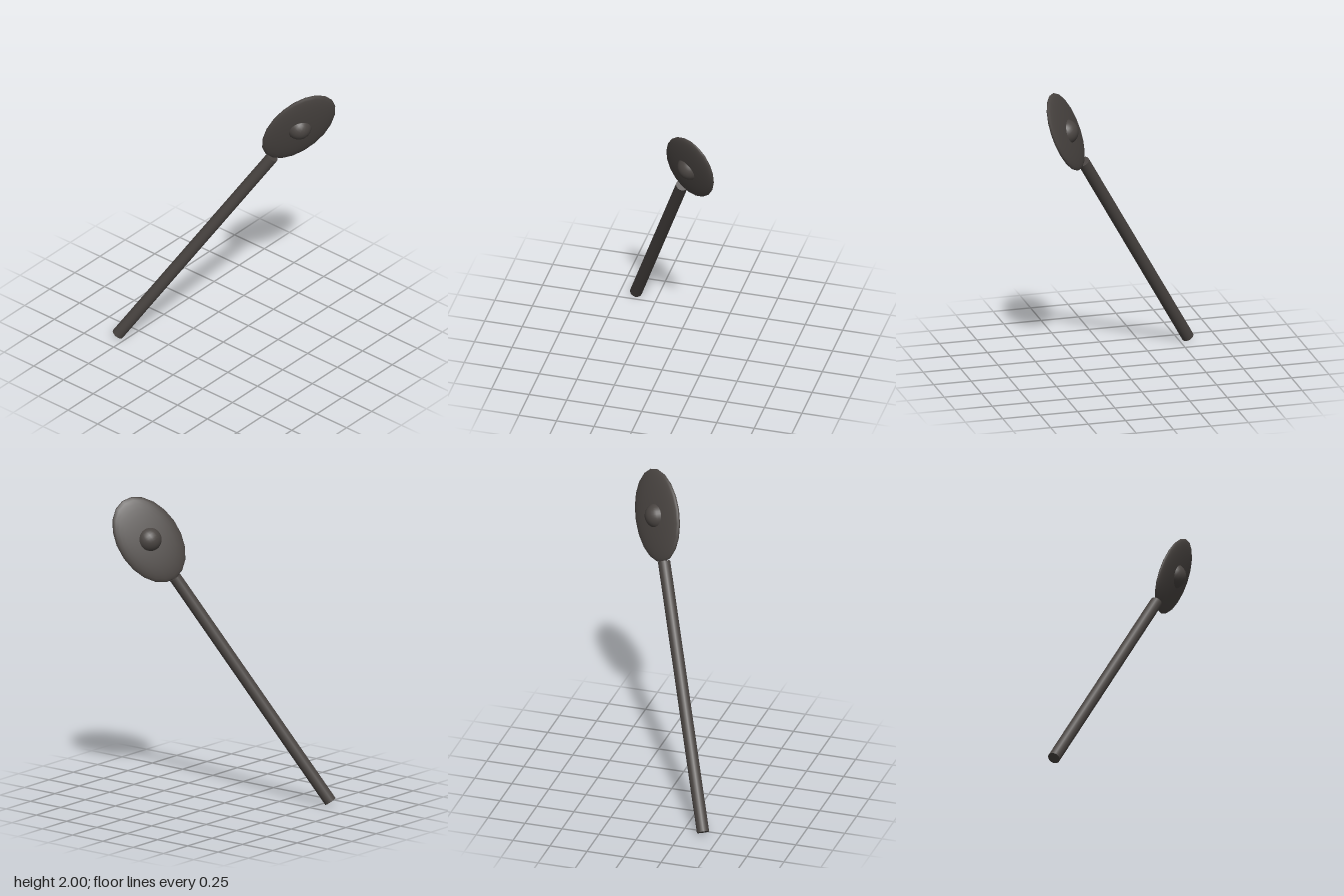
import * as THREE from 'three';

export function createModel() {
  const root = new THREE.Group();
  root.name = 'paddle';
  const darkGrey = new THREE.MeshStandardMaterial({ color: 0x4a4542 });
  darkGrey.name = 'dark grey';

  const add = (name, geometry, y = 0) => {
    const mesh = new THREE.Mesh(geometry, darkGrey);
    mesh.name = name;
    mesh.position.y = y;
    root.add(mesh);
    return mesh;
  };

  // Flattened oval head, thin along local z
  const head = new THREE.SphereGeometry(1, 20, 16);
  head.rotateX(Math.PI / 2);
  head.scale(0.21, 0.305, 0.037);
  add('head', head);

  // Round boss showing on both faces of the head
  add('boss', new THREE.SphereGeometry(0.083, 24, 16));

  // Long straight handle below the head
  const length = 1.77;
  add('handle', new THREE.CylinderGeometry(0.04, 0.04, length, 20), -0.3 - length / 2);

  // Lean the whole piece: local y follows the handle, local z the face of the head
  const along = new THREE.Vector3(0.304, 0.825, 0.48).normalize();
  const face = new THREE.Vector3(0.79, -0.49, 0.35).cross(along).normalize();
  const across = along.clone().cross(face);
  root.quaternion.setFromRotationMatrix(new THREE.Matrix4().makeBasis(across, along, face));
  root.position.set(0.237, 1.73, 0.435);

  const model = new THREE.Group();
  model.add(root);
  return model;
}
